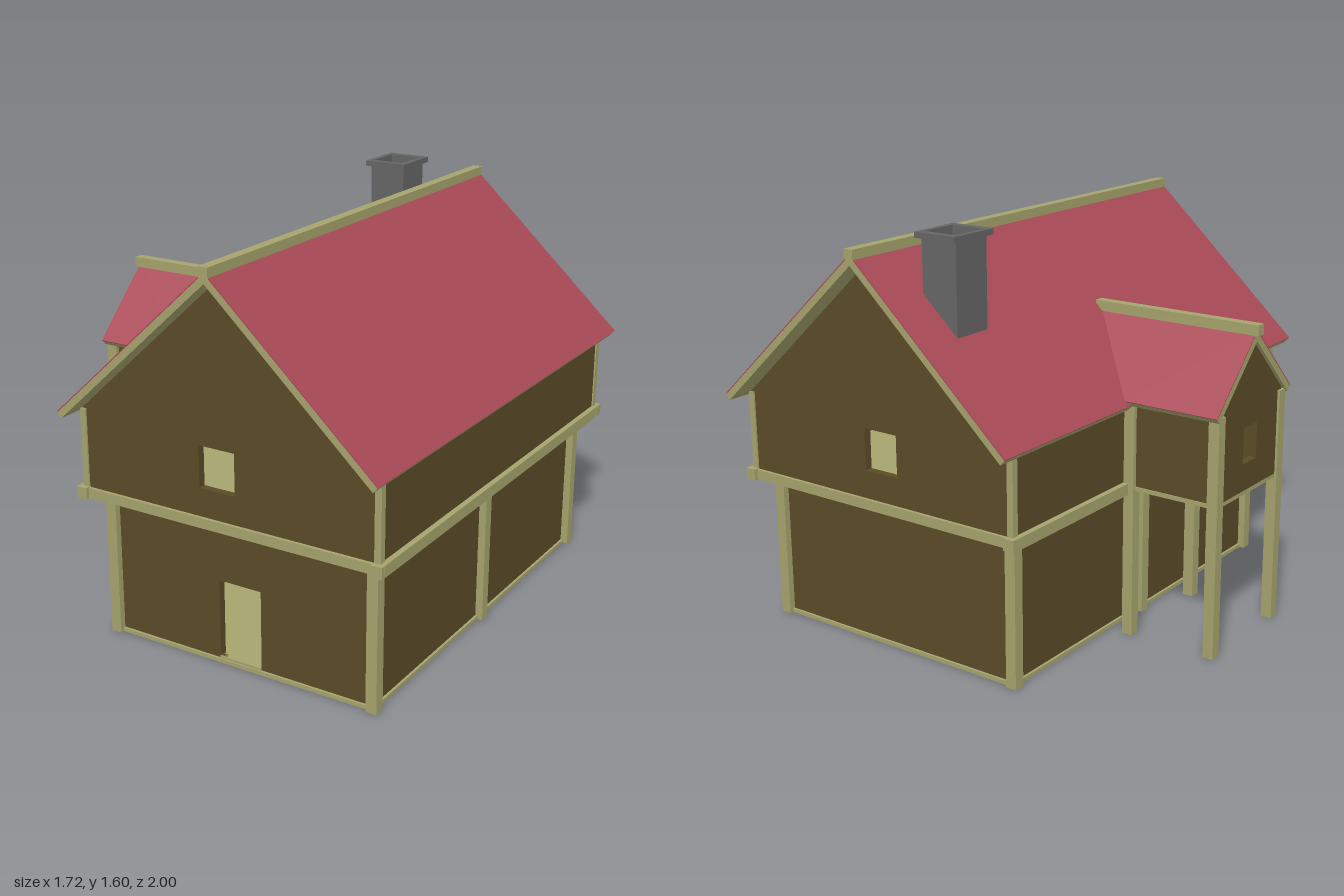
import * as THREE from 'three';
import { ConvexGeometry } from 'three/addons/geometries/ConvexGeometry.js';

const mat = (color) => new THREE.MeshStandardMaterial({ color, flatShading: true, side: THREE.DoubleSide });

export function createModel() {
  const house = new THREE.Group();
  house.name = 'house';
  const wall = mat(0x5a4a27), timber = mat(0xa5a36c), tiles = mat(0xa94957), stone = mat(0x656565);

  const add = (name, geometry, material) => {
    const mesh = new THREE.Mesh(geometry, material);
    mesh.name = name;
    house.add(mesh);
    return mesh;
  };
  // Box given by its limits on each axis
  const box = (name, material, x0, x1, y0, y1, z0, z1) => {
    const g = new THREE.BoxGeometry(x1 - x0, y1 - y0, z1 - z0);
    return add(name, g.translate((x0 + x1) / 2, (y0 + y1) / 2, (z0 + z1) / 2), material);
  };
  // Upright panel with an optional rectangular opening [u0, u1, v0, v1]
  const panel = (points, hole, depth) => {
    const shape = new THREE.Shape(points.map((p) => new THREE.Vector2(...p)));
    if (hole) {
      const [a, b, c, d] = hole;
      shape.holes.push(new THREE.Path([[a, c], [a, d], [b, d], [b, c]].map((p) => new THREE.Vector2(...p))));
    }
    return new THREE.ExtrudeGeometry(shape, { depth, bevelEnabled: false });
  };
  // Sloping roof: a tile layer over a timber board, both below the given top corners
  const roofSlope = (name, corners, normal) => {
    const top = corners.map((c) => new THREE.Vector3(...c));
    const n = new THREE.Vector3(...normal).normalize();
    const layer = (from, to) => new ConvexGeometry(
      [from, to].flatMap((d) => top.map((p) => p.clone().addScaledVector(n, -d))));
    add(name + 'Tiles', layer(0, 0.004), tiles);
    add(name + 'Board', layer(0.004, 0.03), timber);
  };

  const C = 0.19; // x of the main ridge
  const T = 0.03; // wall thickness

  // Ground floor
  box('groundFloor', timber, C - 0.565, C + 0.565, 0, 0.015, -0.83, 0.83);
  box('doorSill', timber, 0.1, 0.28, 0, 0.025, 0.78, 0.825);
  const lower = [[C - 0.555, 0.012], [C + 0.555, 0.012], [C + 0.555, 0.58], [C - 0.555, 0.58]];
  add('lowerFrontWall', panel(lower, [0.1, 0.28, 0.025, 0.33], T).translate(0, 0, 0.82 - T), wall);
  add('lowerBackWall', panel(lower, null, T).translate(0, 0, -0.82), wall);
  for (const s of [-1, 1]) {
    const x = C + s * (0.555 - T / 2);
    box('lowerSideWall', wall, x - T / 2, x + T / 2, 0.012, 0.58, -0.82 + T, 0.82 - T);
    for (const z of [-0.823, 0, 0.823]) {
      const px = C + s * 0.5625;
      box('lowerPost', timber, px - 0.022, px + 0.022, 0, 0.58, z - 0.022, z + 0.022);
    }
  }

  // Jettied upper floor with crossing beams
  box('upperFloor', timber, C - 0.61, C + 0.61, 0.58, 0.605, -0.89, 0.89);
  for (const s of [-1, 1]) {
    const x = C + s * 0.625;
    box('sideBeam', timber, x - 0.022, x + 0.022, 0.57, 0.615, -0.932, 0.932);
    const z = s * 0.898;
    box('endBeam', timber, C - 0.648, C + 0.648, 0.573, 0.612, z - 0.02, z + 0.02);
  }

  // Upper walls and gables
  const gable = [[C - 0.625, 0.6], [C + 0.625, 0.6], [C + 0.625, 0.92], [C, 1.494], [C - 0.625, 0.92]];
  const opening = [0.085, 0.235, 0.72, 0.88];
  add('frontGable', panel(gable, opening, T).translate(0, 0, 0.905 - T), wall);
  add('backGable', panel(gable, opening, T).translate(0, 0, -0.905), wall);
  for (const s of [-1, 1]) {
    const x = C + s * (0.625 - T / 2), px = C + s * 0.618;
    box('upperSideWall', wall, x - T / 2, x + T / 2, 0.6, 0.92, -0.905 + T, 0.905 - T);
    for (const t of [-1, 1]) {
      box('upperCornerPost', timber, px - 0.013, px + 0.013, 0.61, 0.92, t * 0.898 - 0.013, t * 0.898 + 0.013);
    }
  }

  // Main roof
  const ridgeY = 1.535, eaveY = 0.925, half = 0.665, slope = (ridgeY - eaveY) / half;
  for (const s of [-1, 1]) {
    roofSlope('mainRoof', [
      [C, ridgeY, -0.995], [C, ridgeY, 0.995],
      [C + s * half, eaveY, 0.995], [C + s * half, eaveY, -0.995],
    ], [s * slope, 1, 0]);
  }
  box('mainRidgeBeam', timber, C - 0.02, C + 0.02, 1.515, 1.553, -1, 1);

  // Side bay standing on posts
  const Z = 0.02, bayRidge = 1.213, bayEave = 0.943, bayHalf = 0.275;
  box('bayFloor', timber, -0.83, -0.43, 0.587, 0.603, Z - 0.235, Z + 0.235);
  const bayEnd = [[Z - 0.23, 0.6], [Z + 0.23, 0.6], [Z + 0.23, 0.945], [Z, 1.171], [Z - 0.23, 0.945]];
  add('bayGable', panel(bayEnd, [Z - 0.05, Z + 0.05, 0.71, 0.85], T).rotateY(-Math.PI / 2).translate(-0.8, 0, 0), wall);
  const roofX = (y) => C - (ridgeY - y) / slope; // where the main roof reaches height y
  for (const s of [-1, 1]) {
    const z = Z + s * (0.23 - T / 2), pz = Z + s * 0.225;
    box('baySideWall', wall, -0.8, -0.43, 0.6, 0.94, z - T / 2, z + T / 2);
    for (const x of [-0.818, -0.458]) {
      box('bayPost', timber, x - 0.022, x + 0.022, 0, 0.935, pz - 0.022, pz + 0.022);
    }
    roofSlope('bayRoof', [
      [-0.845, bayRidge, Z], [roofX(bayRidge), bayRidge, Z],
      [roofX(bayEave), bayEave, Z + s * bayHalf], [-0.845, bayEave, Z + s * bayHalf],
    ], [0, 1, s * (bayRidge - bayEave) / bayHalf]);
  }
  box('bayRidgeBeam', timber, -0.86, -0.15, 1.195, 1.235, Z - 0.02, Z + 0.02);

  // Chimney: solid stack below, hollow flue and rim above
  const X = -0.05, D = -0.722;
  const frame = (name, w, d, y0, y1) => {
    const rect = [[-w, -d], [w, -d], [w, d], [-w, d]];
    const g = panel(rect, [-0.068, 0.068, -0.074, 0.074], y1 - y0);
    add(name, g.rotateX(-Math.PI / 2).translate(X, y0, D), stone);
  };
  box('chimneyStack', stone, X - 0.076, X + 0.076, 0.605, 1.32, D - 0.083, D + 0.083);
  frame('chimneyFlue', 0.076, 0.083, 1.32, 1.585);
  frame('chimneyRim', 0.09, 0.105, 1.582, 1.604);

  return house;
}
